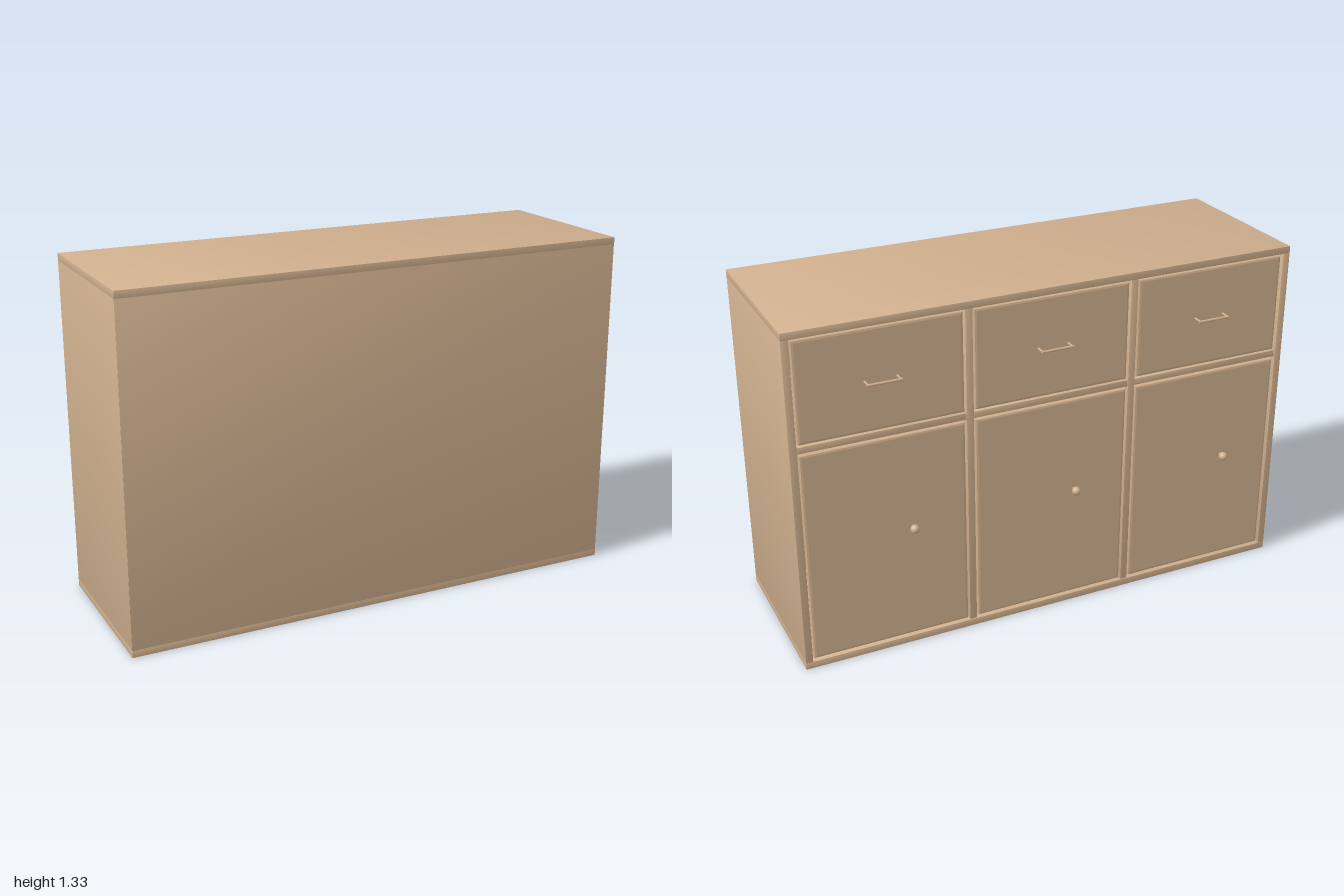
import * as THREE from 'three';

const W = 2, H = 1.333, FRONT = -0.315, REAR = 0.352, T = 0.027;
const wood = new THREE.MeshStandardMaterial({ color: 0xd0b08e });
wood.name = 'tan wood';

function add(group, name, geometry, x, y, z) {
  const mesh = new THREE.Mesh(geometry, wood);
  mesh.name = name;
  mesh.position.set(x, y, z);
  group.add(mesh);
  return mesh;
}

// Board given by its limits; normals lean softly towards the corners
function board(group, name, x0, x1, y0, y1, z0, z1) {
  const g = new THREE.BoxGeometry(x1 - x0, y1 - y0, z1 - z0);
  const p = g.attributes.position, n = g.attributes.normal;
  const v = new THREE.Vector3();
  for (let i = 0; i < p.count; i++) {
    v.fromBufferAttribute(n, i).multiplyScalar(0.8);
    v.x += 0.2 * Math.sign(p.getX(i));
    v.y += 0.2 * Math.sign(p.getY(i));
    v.z += 0.2 * Math.sign(p.getZ(i));
    v.normalize();
    n.setXYZ(i, v.x, v.y, v.z);
  }
  return add(group, name, g, (x0 + x1) / 2, (y0 + y1) / 2, (z0 + z1) / 2);
}

// Bevelled panel whose face lies just behind the frame
function panel(group, name, x, y, w, h) {
  const b = 0.01, a = w / 2 - b, c = h / 2 - b;
  const s = new THREE.Shape();
  s.moveTo(-a, -c).lineTo(a, -c).lineTo(a, c).lineTo(-a, c).closePath();
  const g = new THREE.ExtrudeGeometry(s, {
    depth: 0.012, bevelEnabled: true, bevelSize: b, bevelThickness: 0.006, bevelSegments: 2,
  });
  return add(group, name, g, x, y, FRONT + 0.011);
}

// Slim bar on two short posts
function handle(group, x, y) {
  const g = new THREE.Group();
  g.name = 'drawerHandle';
  const bar = add(g, 'handleBar', new THREE.CylinderGeometry(0.005, 0.005, 0.13, 12), 0, 0, -0.347);
  bar.rotation.z = Math.PI / 2;
  for (const s of [-1, 1]) {
    const post = add(g, 'handlePost', new THREE.CylinderGeometry(0.004, 0.004, 0.04, 12), s * 0.06, 0, -0.327);
    post.rotation.x = Math.PI / 2;
  }
  g.position.set(x, y, 0);
  group.add(g);
}

export function createModel() {
  const model = new THREE.Group();
  model.name = 'sideboard';

  // Carcass
  board(model, 'bottomBoard', -W / 2, W / 2, 0, T, FRONT, REAR);
  board(model, 'topBoard', -W / 2, W / 2, H - T, H, FRONT, REAR);
  board(model, 'rightSide', -W / 2, -W / 2 + T, T, H - T, FRONT, REAR - 0.001);
  board(model, 'leftSide', W / 2 - T, W / 2, T, H - T, FRONT, REAR - 0.001);
  board(model, 'backPanel', -W / 2 + 0.001, W / 2 - 0.001, T, H - T, REAR - T, REAR);

  // Dividers
  const bay = (W - 4 * T) / 3, pitch = bay + T;
  for (const s of [-1, 1]) {
    const x = s * pitch / 2;
    board(model, 'divider', x - T / 2, x + T / 2, T, H - T, FRONT + 0.004, REAR - T);
  }

  // Three bays, each with a drawer above a door
  const shelfLow = 0.88, shelfHigh = 0.905, gap = 0.007;
  for (let i = -1; i <= 1; i++) {
    const x = i * pitch;
    board(model, 'shelf', x - bay / 2, x + bay / 2, shelfLow, shelfHigh, FRONT + 0.008, REAR - T);

    const drawerY = (shelfHigh + H - T) / 2, doorY = (T + shelfLow) / 2;
    panel(model, 'drawerFront', x, drawerY, bay - 2 * gap, H - T - shelfHigh - 2 * gap);
    panel(model, 'door', x, doorY, bay - 2 * gap, shelfLow - T - 2 * gap);

    handle(model, x, drawerY);
    add(model, 'doorKnob', new THREE.SphereGeometry(0.017, 20, 14), x - 0.095, 0.496, -0.332);
    const stem = add(model, 'knobStem', new THREE.CylinderGeometry(0.006, 0.006, 0.02, 12), x - 0.095, 0.496, -0.314);
    stem.rotation.x = Math.PI / 2;
  }
  return model;
}
